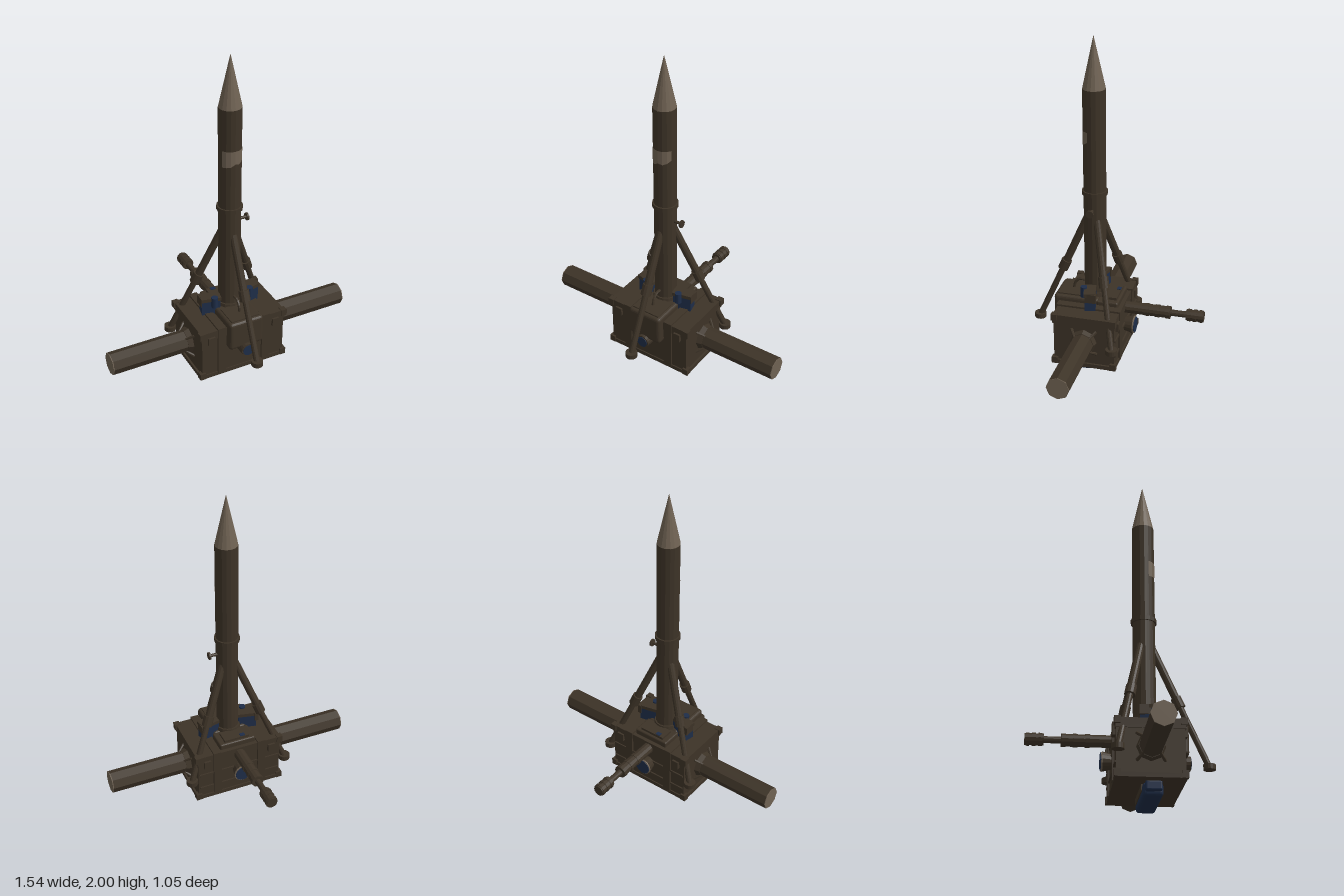
import * as THREE from 'three';
import { RoundedBoxGeometry } from 'three/addons/geometries/RoundedBoxGeometry.js';

const V = (x, y, z) => new THREE.Vector3(x, y, z);

export function createModel() {
  const model = new THREE.Group();
  model.name = 'mastUnit';
  const mat = (name, color, side = THREE.FrontSide) =>
    Object.assign(new THREE.MeshStandardMaterial({ color, flatShading: true, side }), { name });
  const brown = mat('darkBrown', 0x3d3327);
  const tan = mat('wornTan', 0x6e6152, THREE.DoubleSide);
  const blue = mat('navyBlue', 0x1e2d48);
  const axisZ = 0.135;

  const add = (name, geo, material, parent = model) => {
    const mesh = new THREE.Mesh(geo, material);
    mesh.name = name;
    parent.add(mesh);
    return mesh;
  };
  // Box given by its limits, optionally rounded
  const box = (name, m, x0, x1, y0, y1, z0, z1, r = 0) => {
    const s = [x1 - x0, y1 - y0, z1 - z0];
    const mesh = add(name, r ? new RoundedBoxGeometry(...s, 2, r) : new THREE.BoxGeometry(...s), m);
    mesh.position.set((x0 + x1) / 2, (y0 + y1) / 2, (z0 + z1) / 2);
    return mesh;
  };
  // Cylinder or cone from point a (radius ra) to point b (radius rb)
  const rod = (name, m, a, b, ra, rb = ra, sides = 12) => {
    const d = b.clone().sub(a);
    const mesh = add(name, new THREE.CylinderGeometry(rb, ra, d.length(), sides), m);
    mesh.position.copy(a).add(b).multiplyScalar(0.5);
    mesh.quaternion.setFromUnitVectors(V(0, 1, 0), d.normalize());
    return mesh;
  };

  // Body with lid rim
  box('body', brown, -0.268, 0.268, 0.07, 0.385, -0.048, 0.318);
  box('bodyBase', brown, -0.28, 0.28, 0.07, 0.095, -0.055, 0.325);
  box('lid', brown, -0.275, 0.275, 0.34, 0.395, -0.053, 0.323);
  for (const s of [-1, 1]) {
    for (const [z, out] of [[0.312, 1], [-0.042, -1]]) {
      for (const y of [0.092, 0.38]) {
        box('cornerFitting', brown, s * 0.267 - 0.018, s * 0.267 + 0.018, y - 0.02, y + 0.02, z - 0.018, z + 0.018);
      }
      // Latches over the lid seam
      box('latch', brown, s * 0.21 - 0.022, s * 0.21 + 0.022, 0.31, 0.36, z + out * 0.011 - 0.012, z + out * 0.011 + 0.012);
    }
    // Straps wrapped around the body
    box('strap', brown, s * 0.145 - 0.025, s * 0.145 + 0.025, 0.08, 0.406, -0.06, 0.33);
  }
  for (const y of [0.15, 0.25]) box('rearRib', brown, -0.26, 0.26, y, y + 0.012, -0.056, -0.04);

  // Raised front and rear housings
  box('frontHousing', brown, -0.11, 0.11, 0.25, 0.435, 0.09, 0.365, 0.02);
  box('frontHousingLid', brown, -0.09, 0.09, 0.425, 0.442, 0.2, 0.345);
  box('rearHousing', brown, -0.115, 0.115, 0.38, 0.43, -0.03, 0.1, 0.01);
  box('rearHousingLid', brown, -0.08, 0.08, 0.425, 0.445, -0.015, 0.07);
  box('rearLidPlate', blue, -0.055, -0.025, 0.44, 0.449, -0.012, 0.012);

  // Carrying handle on the front housing
  const handleCurve = new THREE.CatmullRomCurve3(
    [V(0, 0.435, 0.27), V(0, 0.475, 0.262), V(0, 0.502, 0.235), V(0, 0.502, 0.2)]);
  add('handle', new THREE.TubeGeometry(handleCurve, 8, 0.009, 6), brown);

  // Front and rear ports with blue lenses
  rod('frontPort', brown, V(0, 0.235, 0.3), V(0, 0.235, 0.383), 0.042, 0.042, 16);
  rod('frontLens', blue, V(0, 0.235, 0.38), V(0, 0.235, 0.387), 0.034, 0.034, 16);
  rod('rearPort', brown, V(0, 0.235, -0.04), V(0, 0.235, -0.1), 0.04, 0.055, 16);
  rod('rearPortRim', tan, V(0, 0.235, -0.1), V(0, 0.235, -0.108), 0.053, 0.053, 16);
  rod('rearLens', blue, V(0, 0.235, -0.105), V(0, 0.235, -0.112), 0.048, 0.048, 16);

  // Rear barrel with sleeve and grooved muzzle
  const barrel = (name, z0, z1, r) => rod(name, brown, V(0, 0.35, z0), V(0, 0.35, z1), r, r, 12);
  barrel('barrelSleeve', -0.04, -0.325, 0.035);
  barrel('barrel', -0.3, -0.44, 0.019);
  barrel('muzzle', -0.42, -0.525, 0.033);
  for (const z of [-0.428, -0.463, -0.498]) barrel('muzzleRing', z, z - 0.02, 0.037);
  for (const z of [-0.17, -0.235, -0.3]) barrel('sleeveRing', z, z - 0.025, 0.038);

  // Side tubes with tan ends, collars and gussets
  for (const s of [-1, 1]) {
    const p = x => V(s * x, 0.237, axisZ);
    rod('sideTube', brown, p(0.25), p(0.766), 0.067, 0.067, 8);
    rod('sideTubeEnd', tan, p(0.765), p(0.77), 0.067, 0.067, 8);
    rod('sideCollar', brown, p(0.265), p(0.3), 0.08, 0.07, 8);
    for (let i = 0; i < 4; i++) {
      const a = Math.PI / 4 + i * Math.PI / 2;
      const dy = Math.sin(a), dz = Math.cos(a);
      rod('sideGusset', brown, V(s * 0.265, 0.237 + dy * 0.105, axisZ + dz * 0.105),
        V(s * 0.31, 0.237 + dy * 0.06, axisZ + dz * 0.06), 0.01, 0.006, 6);
    }
  }

  // Mast, ring and nose cone
  rod('mast', brown, V(0, 0.38, axisZ), V(0, 1.7, axisZ), 0.066, 0.066, 16);
  rod('mastRing', brown, V(0, 1.07, axisZ), V(0, 1.095, axisZ), 0.075, 0.075, 16);
  rod('mastFoot', brown, V(0, 0.38, axisZ), V(0, 0.455, axisZ), 0.085, 0.075, 16);
  add('noseCone', new THREE.ConeGeometry(0.066, 0.3, 16), tan).position.set(0, 1.85, axisZ);

  // Worn patch with a ragged lower edge
  const patchGeo = new THREE.CylinderGeometry(0.0675, 0.0675, 0.09, 6, 1, true, -Math.PI * 3 / 8, Math.PI * 3 / 4);
  const pos = patchGeo.attributes.position;
  const ragged = [-0.01, -0.008, -0.004, 0.012, 0.006, 0.015, 0.03];
  for (let i = 7; i < 14; i++) pos.setY(i, pos.getY(i) + ragged[i - 7]);
  add('wornPatch', patchGeo, tan).position.set(0, 1.413, axisZ);

  // Small knob on the mast
  rod('knobStem', brown, V(0.05, 0.985, axisZ), V(0.11, 0.985, axisZ), 0.009);
  rod('knob', brown, V(0.106, 0.985, axisZ), V(0.117, 0.985, axisZ), 0.023);

  // Three braces spread around the mast
  for (let i = 0; i < 3; i++) {
    const a = i * Math.PI * 2 / 3;
    const p = (r, y) => V(Math.sin(a) * r, y, axisZ + Math.cos(a) * r);
    rod('braceUpper', brown, p(0.045, 0.92), p(0.19, 0.59), 0.023);
    rod('braceCollar', brown, p(0.177, 0.62), p(0.203, 0.56), 0.031);
    rod('braceLower', brown, p(0.19, 0.59), p(0.352, 0.225), 0.018);
    rod('braceFoot', brown, p(0.355, 0.205), p(0.355, 0.235), 0.035, 0.035, 16);
  }

  // Blue mounts beside the mast
  for (const s of [-1, 1]) {
    const mount = box('mastMount', blue, s * 0.125 - 0.055, s * 0.125 + 0.055, 0.39, 0.495, 0.1, 0.165);
    const cap = box('mountCap', brown, s * 0.125 - 0.06, s * 0.125 + 0.06, 0.485, 0.507, 0.1, 0.17);
    mount.rotation.y = cap.rotation.y = s * 0.22;
    box('mountSide', brown, s * 0.175 - 0.012, s * 0.175 + 0.012, 0.45, 0.505, 0.085, 0.15);
    rod('mountKnob', blue, V(s * 0.115, 0.45, 0.175), V(s * 0.115, 0.517, 0.175), 0.02);
  }

  // Blue skid underneath with end rollers
  box('skid', blue, -0.185, 0.185, 0, 0.075, 0.1, 0.21, 0.02);
  for (const s of [-1, 1]) {
    box('skidEnd', blue, s * 0.2 - 0.02, s * 0.2 + 0.02, 0.02, 0.075, 0.11, 0.2, 0.01);
  }
  box('skidRail', brown, -0.15, 0.15, 0.035, 0.07, 0.095, 0.105);
  return model;
}
